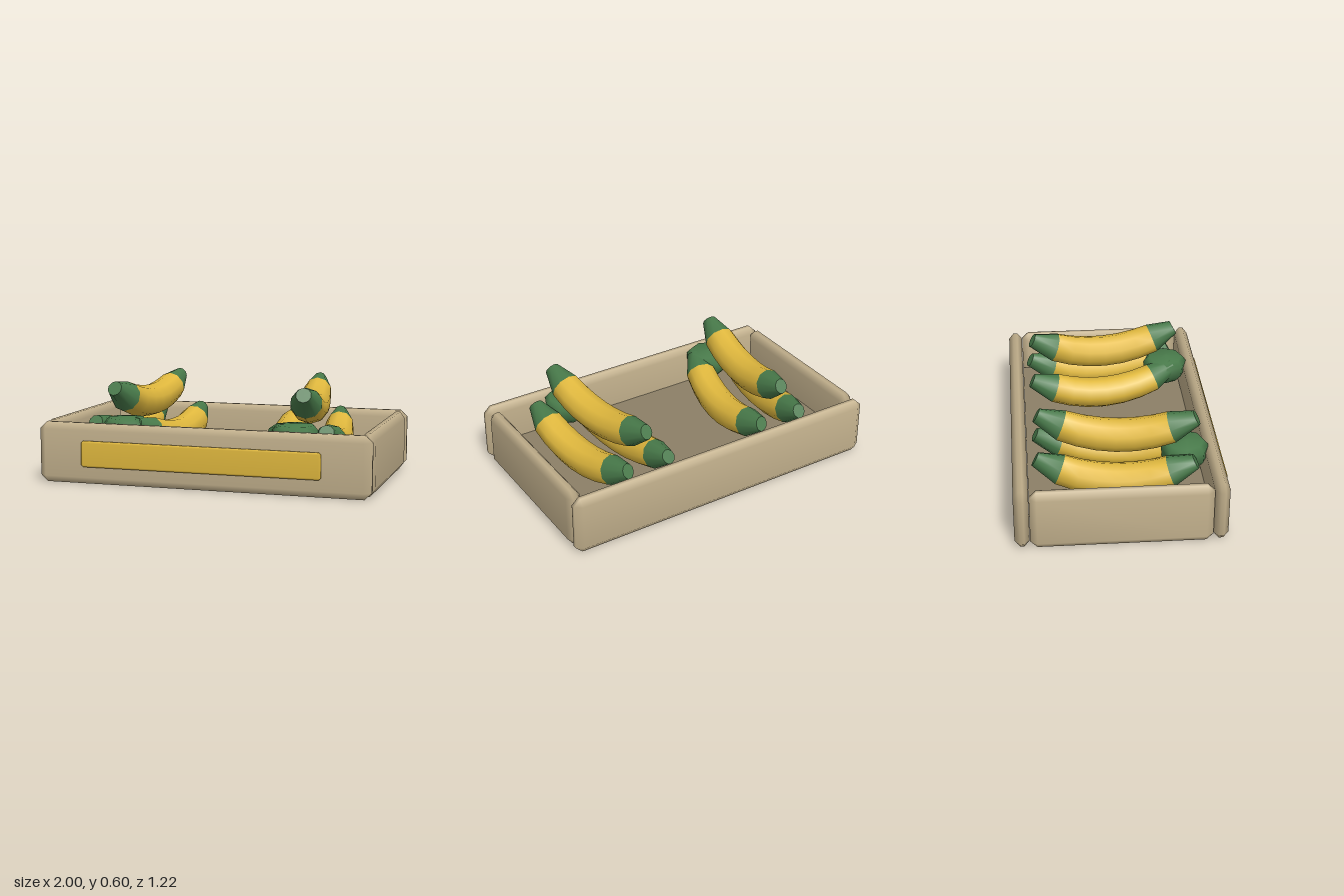
import * as THREE from 'three';
import { ConvexGeometry } from 'three/addons/geometries/ConvexGeometry.js';
import { mergeVertices } from 'three/addons/utils/BufferGeometryUtils.js';

const material = (name, color) => {
  const m = new THREE.MeshStandardMaterial({ color });
  m.name = name;
  return m;
};

// Box with a single chamfer per edge and smoothed normals
function chamferBox(size, chamfer) {
  const half = size.map((s) => s / 2);
  const points = [];
  for (let axis = 0; axis < 3; axis++)
    for (const sx of [-1, 1]) for (const sy of [-1, 1]) for (const sz of [-1, 1]) {
      const p = [sx, sy, sz].map((s, i) => s * (i === axis ? half[i] : half[i] - chamfer[i]));
      points.push(new THREE.Vector3(...p));
    }
  const hull = new ConvexGeometry(points);
  hull.deleteAttribute('normal');
  const geo = mergeVertices(hull, 1e-4);
  geo.computeVertexNormals();
  return geo;
}

// Stretch of a curved fruit between two positions along z
const TIP = 0.316, END = 0.457;
function fruitSection(z0, z1, rings, capped) {
  const geo = new THREE.CylinderGeometry(1, 1, 1, 10, rings, !capped);
  geo.rotateX(Math.PI / 2);
  const pos = geo.attributes.position;
  for (let i = 0; i < pos.count; i++) {
    const z = THREE.MathUtils.lerp(z0, z1, pos.getZ(i) + 0.5);
    const over = Math.max(0, Math.abs(z) - TIP) / (END - TIP);
    const r = THREE.MathUtils.lerp(0.097 - 0.06 * Math.min(z * z, TIP * TIP), 0.045, over);
    const width = 1.05 + 0.18 * z - 0.6 * z * z;
    const tilt = Math.atan(1.16 * z);
    const up = pos.getY(i) * r;
    pos.setXYZ(i, pos.getX(i) * r * width, 0.58 * z * z + up * Math.cos(tilt), z - up * Math.sin(tilt));
  }
  geo.computeVertexNormals();
  return geo;
}

export function createModel() {
  const model = new THREE.Group();
  const wood = material('crate wood', 0xc3b18d);
  const floorWood = material('floor wood', 0x8c8067);
  const gold = material('yellow', 0xe1b93e);
  const green = material('green', 0x487a4a);

  const add = (parent, name, geo, mat, x = 0, y = 0, z = 0) => {
    const mesh = new THREE.Mesh(geo, mat);
    mesh.name = name;
    mesh.position.set(x, y, z);
    parent.add(mesh);
    return mesh;
  };

  // Crate
  const crate = new THREE.Group();
  crate.name = 'crate';
  model.add(crate);
  const longWall = chamferBox([2, 0.36, 0.085], [0.042, 0.04, 0.03]);
  const endWall = chamferBox([0.088, 0.36, 1.026], [0.03, 0.04, 0.04]);
  add(crate, 'frontWall', longWall, wood, 0, 0.18, 0.545);
  add(crate, 'backWall', longWall, wood, 0, 0.18, -0.57);
  add(crate, 'leftWall', endWall, wood, 0.956, 0.18, -0.012);
  add(crate, 'rightWall', endWall, wood, -0.956, 0.18, -0.012);
  add(crate, 'floor', new THREE.BoxGeometry(1.83, 0.12, 1.026), floorWood, 0, 0.06, -0.012);
  add(crate, 'frontPlate', chamferBox([1.44, 0.155, 0.024], [0.012, 0.012, 0.008]), gold, 0, 0.183, 0.6);

  // Fruit bunches
  const body = fruitSection(-TIP, TIP, 6, false);
  const frontTip = fruitSection(TIP, END, 1, true);
  const backTip = fruitSection(-END, -TIP, 1, true);
  const crownProfile = [[0, 0.22], [0.09, 0.23], [0.134, 0.28], [0.139, 0.345], [0.11, 0.38], [0, 0.39]]
    .map(([x, y]) => new THREE.Vector2(x, y));
  const crown = new THREE.LatheGeometry(crownProfile, 8);

  // x, y, z, yaw, roll on the left side of the crate
  const layout = [
    ['outerFruit', 0.664, 0.228, -0.027, 0.115, 0.1],
    ['innerFruit', 0.352, 0.23, -0.015, 0.135, -0.31],
    ['topFruit', 0.52, 0.436, -0.01, 0.117, 0],
  ];
  for (const side of [-1, 1]) {
    const bunch = new THREE.Group();
    bunch.name = side > 0 ? 'leftBunch' : 'rightBunch';
    model.add(bunch);
    for (const [name, x, y, z, yaw, roll] of layout) {
      const fruit = new THREE.Group();
      fruit.name = name;
      fruit.position.set(side * x, y, z);
      fruit.rotation.set(0, side * yaw + 0.012, side * roll);
      add(fruit, 'fruitBody', body, gold);
      add(fruit, 'frontTip', frontTip, green);
      add(fruit, 'backTip', backTip, green);
      bunch.add(fruit);
    }
    add(bunch, 'crown', crown, green, side * 0.52, 0, 0.388);
  }
  return model;
}
